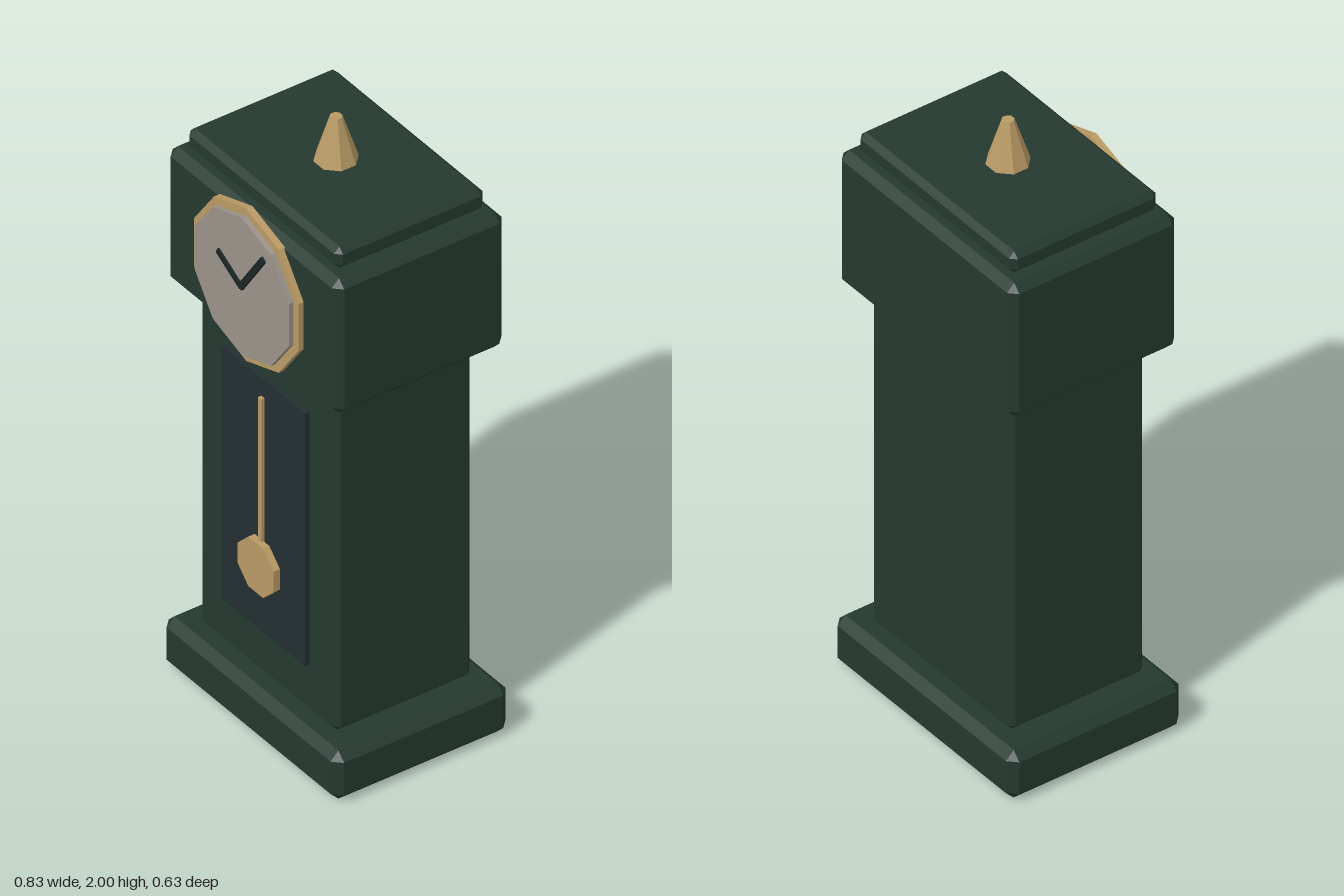
import * as THREE from 'three';

const ZC = -0.018; // centre of the case in depth

const material = (name, color, extra = {}) => {
  const m = new THREE.MeshStandardMaterial({ color, flatShading: true, ...extra });
  m.name = name;
  return m;
};

// Box with every edge chamfered by b, built from four rings of eight points
function chamferBox(hx, y0, y1, hz, b, openBottom = false) {
  const ring = (y, x, z, c) => [
    [x, y, -z + c], [x, y, z - c], [x - c, y, z], [-x + c, y, z],
    [-x, y, z - c], [-x, y, -z + c], [-x + c, y, -z], [x - c, y, -z],
  ].map((p) => new THREE.Vector3(...p));
  const rings = [
    ring(y0, hx - b, hz - b, 0), ring(y0 + b, hx, hz, b),
    ring(y1 - b, hx, hz, b), ring(y1, hx - b, hz - b, 0),
  ];
  const points = [];
  const tri = (p, q, r) => {
    if (new THREE.Triangle(p, q, r).getArea() > 1e-8) points.push(p, q, r);
  };
  for (let k = 0; k < 3; k++) {
    for (let i = 0; i < 8; i++) {
      const j = (i + 1) % 8, lo = rings[k], hi = rings[k + 1];
      tri(lo[i], hi[i], hi[j]);
      tri(lo[i], hi[j], lo[j]);
    }
  }
  for (let i = 1; i < 7; i++) {
    tri(rings[3][0], rings[3][i + 1], rings[3][i]);
    if (!openBottom) tri(rings[0][0], rings[0][i], rings[0][i + 1]);
  }
  const geo = new THREE.BufferGeometry().setFromPoints(points);
  geo.computeVertexNormals();
  return geo;
}

// Flat polygonal disc facing +z, from z0 to z1
function disc(radius, sides, z0, z1, turn) {
  const geo = new THREE.CylinderGeometry(radius, radius, z1 - z0, sides);
  return geo.rotateX(Math.PI / 2).rotateZ(turn).translate(0, 0, (z0 + z1) / 2);
}

// Box given by its limits
function slab(x0, x1, y0, y1, z0, z1) {
  return new THREE.BoxGeometry(x1 - x0, y1 - y0, z1 - z0)
    .translate((x0 + x1) / 2, (y0 + y1) / 2, (z0 + z1) / 2);
}

export function createModel() {
  const model = new THREE.Group();
  model.name = 'longcaseClock';

  const green = material('dark green wood', 0x24392f, { side: THREE.DoubleSide });
  const brass = material('brass', 0xb99a65);
  const ivory = material('dial grey', 0x9b938b);
  const glass = material('dark panel', 0x232e30);
  const black = material('hand black', 0x1c2624);

  const add = (name, geo, mat, parent = model) => {
    const mesh = new THREE.Mesh(geo, mat);
    mesh.name = name;
    parent.add(mesh);
    return mesh;
  };

  // Case: hollow plinth, trunk, hood and cap
  const parts = [
    ['plinth', 0.417, 0, 0.165, 0.299, 0.027, true],
    ['trunk', 0.326, 0.165, 1.32, 0.235, 0.018],
    ['hood', 0.408, 1.32, 1.782, 0.29, 0.025],
    ['cap', 0.362, 1.782, 1.855, 0.254, 0.018],
  ];
  for (const [name, ...size] of parts) add(name, chamferBox(...size), green).position.z = ZC;

  // Finial
  add('finial', new THREE.CylinderGeometry(0.0185, 0.065, 0.145, 8).rotateY(Math.PI / 8), brass)
    .position.set(0, 1.9275, ZC);

  // Dial with its hands
  const dial = new THREE.Group();
  dial.name = 'dial';
  dial.position.y = 1.55;
  model.add(dial);
  add('bezel', disc(0.262, 10, 0.268, 0.289, 0), brass, dial);
  add('dialFace', disc(0.236, 10, 0.28, 0.304, 0), ivory, dial);
  const hand = (name, x, y, z0, z1) => {
    const length = Math.hypot(x, y);
    add(name, slab(-0.01, 0.01, 0, length, z0, z1), black, dial).rotation.z = Math.atan2(-x, y);
  };
  hand('hourHand', -0.112, 0.062, 0.303, 0.31);
  hand('minuteHand', 0.108, 0.157, 0.304, 0.313);

  // Trunk panel and pendulum
  add('trunkPanel', slab(-0.2, 0.2, 0.332, 1.2, 0.21, 0.232), glass);
  const pendulum = new THREE.Group();
  pendulum.name = 'pendulum';
  model.add(pendulum);
  add('pendulumRod', slab(-0.008, 0.008, 0.6, 1.14, 0.23, 0.243), brass, pendulum);
  add('pendulumBob', disc(0.092, 8, 0.235, 0.257, Math.PI / 8), brass, pendulum).position.y = 0.565;

  return model;
}
